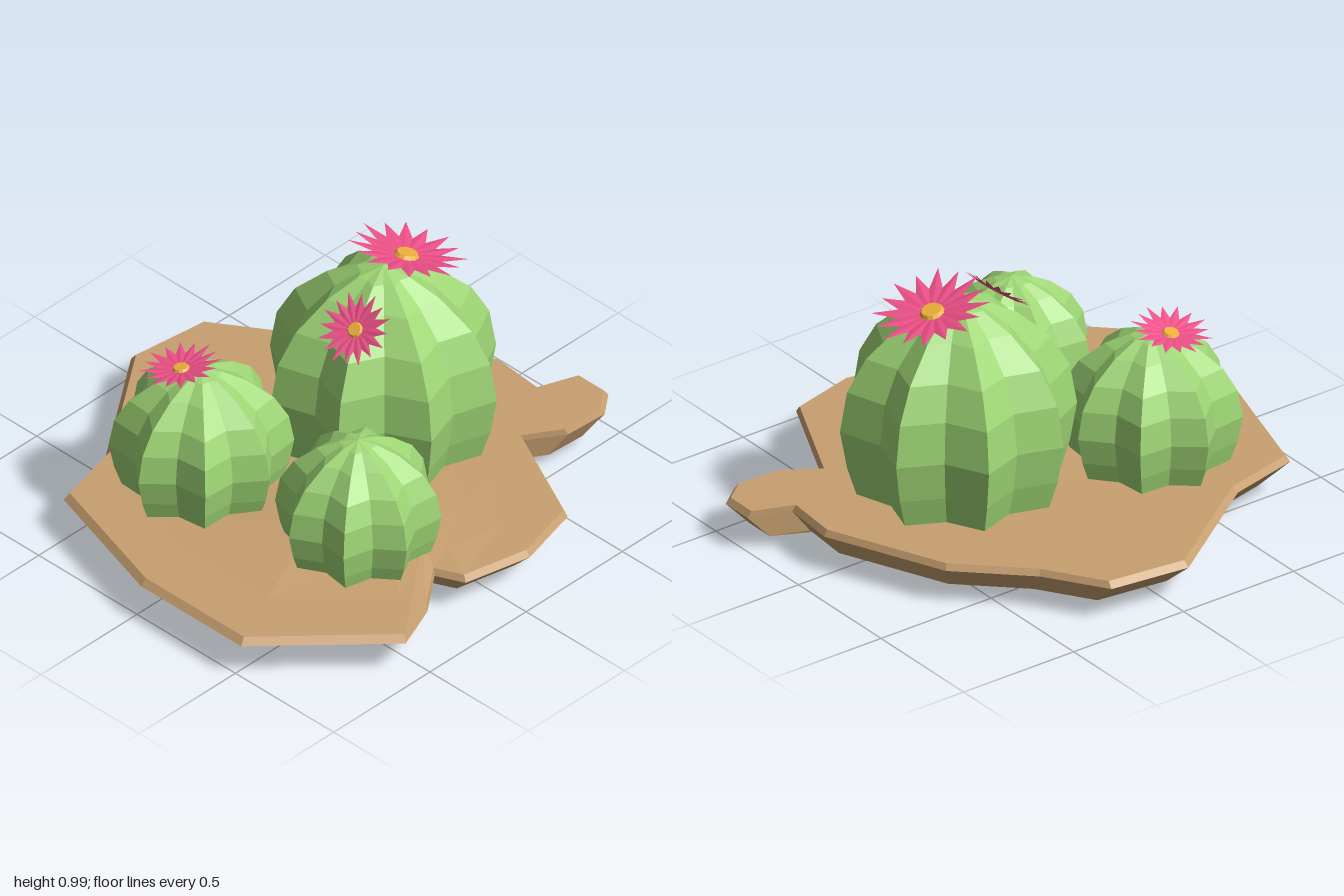
import * as THREE from 'three';

const mat = (color, side = THREE.FrontSide) =>
  new THREE.MeshStandardMaterial({ color, flatShading: true, side });
const green = mat(0x9fd675), brown = mat(0xc8a070);
const pink = mat(0xee5088, THREE.DoubleSide), yellow = mat(0xf0b23c, THREE.DoubleSide);

// Skin a stack of equal-length loops (anticlockwise seen from above, bottom to top);
// optional points close the two ends.
function skin(loops, bottom, top) {
  const n = loops[0].length, pos = loops.flat(2), idx = [];
  for (let k = 0; k + 1 < loops.length; k++)
    for (let i = 0; i < n; i++) {
      const a = k * n + i, b = k * n + (i + 1) % n;
      idx.push(a, b, b + n, a, b + n, a + n);
    }
  const cap = (p, start, up) => {
    const c = pos.length / 3;
    pos.push(...p);
    for (let i = 0; i < n; i++) {
      const a = start + i, b = start + (i + 1) % n;
      idx.push(...(up ? [a, b, c] : [b, a, c]));
    }
  };
  if (bottom) cap(bottom, 0, false);
  if (top) cap(top, (loops.length - 1) * n, true);
  const g = new THREE.BufferGeometry();
  g.setAttribute('position', new THREE.Float32BufferAttribute(pos, 3));
  g.setIndex(idx);
  g.computeVertexNormals();
  return g;
}

// Irregular slab of ground: bevelled underside, thin rim, gently humped top
function makeGround() {
  const outline = [
    [0.03, -0.86], [0.25, -0.84], [0.31, -1], [0.44, -1], [0.51, -0.91], [0.5, -0.73],
    [0.41, -0.59], [0.84, -0.38], [0.91, -0.11], [0.85, 0.16], [0.74, 0.21], [0.87, 0.38],
    [0.945, 0.57], [0.53, 1], [0.02, 1], [-0.54, 0.83], [-0.61, 0.54], [-0.95, 0.06],
    [-0.91, -0.26], [-0.68, -0.41], [-0.44, -0.66]].reverse();
  const cx = 0.03, cz = -0.2;
  const hump = (x, z) => 0.165 + 0.042 * Math.exp(-((x - 0.3) ** 2 + (z - 0.28) ** 2) / 0.14);
  const loop = (s, y) => outline.map(([x, z]) => {
    const px = cx + (x - cx) * s, pz = cz + (z - cz) * s;
    return [px, typeof y === 'function' ? y(px, pz) : y, pz];
  });
  const loops = [
    loop(0.5, (x) => 0.025 + 0.015 * x), loop(0.9, 0.05), loop(1, 0.14), loop(0.98, 0.165),
    loop(0.8, hump), loop(0.6, hump), loop(0.4, hump), loop(0.2, hump)];
  return new THREE.Mesh(skin(loops, [-0.31, 0, -0.13], [cx, hump(cx, cz), cz]), brown);
}

// Eight-ribbed cactus: star-shaped sections following a domed profile
const PROFILE = [[0.84, -0.04], [0.86, 0], [0.94, 0.15], [1, 0.35], [0.94, 0.56],
  [0.78, 0.73], [0.5, 0.88], [0.23, 0.965]];
function makeCactus(x, z, radius, top, turn) {
  const base = 0.165, h = top - base;
  const loops = PROFILE.map(([r, t]) => Array.from({ length: 16 }, (_, i) => {
    const a = turn + i * Math.PI / 8, rr = r * radius * (i % 2 ? 0.8 : 1);
    return [x + rr * Math.sin(a), base + t * h, z + rr * Math.cos(a)];
  }));
  return new THREE.Mesh(skin(loops, [x, base - 0.04 * h, z], [x, top, z]), green);
}

// Thin flower: one pointed ring of petals around a small disc, facing along a normal
function makeFlower(name, center, radius, normal) {
  const g = new THREE.Group(), n = 32;
  g.name = name;
  const ring = (f) => Array.from({ length: n }, (_, i) => {
    const a = i * 2 * Math.PI / n, [r, y] = f(i);
    return [r * radius * Math.sin(a), y * radius, r * radius * Math.cos(a)];
  });
  const petals = new THREE.Mesh(skin([
    ring((i) => (i % 2 ? [0.58, 0.03] : [i % 4 ? 0.93 : 1, 0.1])),
    ring(() => [0.18, 0])], null, [0, 0, 0]), pink);
  petals.name = 'petals';
  const disc = new THREE.Mesh(new THREE.CylinderGeometry(0.17 * radius, 0.21 * radius, 0.06 * radius, 12), yellow);
  disc.position.y = 0.03 * radius;
  disc.name = 'flowerCenter';
  g.add(petals, disc);
  g.position.set(...center);
  g.quaternion.setFromUnitVectors(new THREE.Vector3(0, 1, 0), new THREE.Vector3(...normal).normalize());
  return g;
}

export function createModel() {
  const model = new THREE.Group();
  model.name = 'cactusPatch';
  const add = (mesh, name) => { mesh.name = name; model.add(mesh); };

  add(makeGround(), 'ground');

  // Cacti
  add(makeCactus(0.03, -0.25, 0.445, 0.93, Math.PI / 8), 'largeCactus');
  add(makeCactus(-0.235, 0.425, 0.338, 0.685, 0.03), 'frontRightCactus');
  add(makeCactus(0.44, 0.3, 0.307, 0.655, 0.6), 'frontLeftCactus');

  // Flowers
  model.add(
    makeFlower('topFlower', [0.03, 0.91, -0.37], 0.225, [0, 0.96, -0.27]),
    makeFlower('sideFlower', [0.13, 0.825, 0], 0.145, [0.1, 0.75, 0.65]),
    makeFlower('smallFlower', [-0.29, 0.683, 0.475], 0.155, [-0.17, 0.98, 0.06]));
  return model;
}
